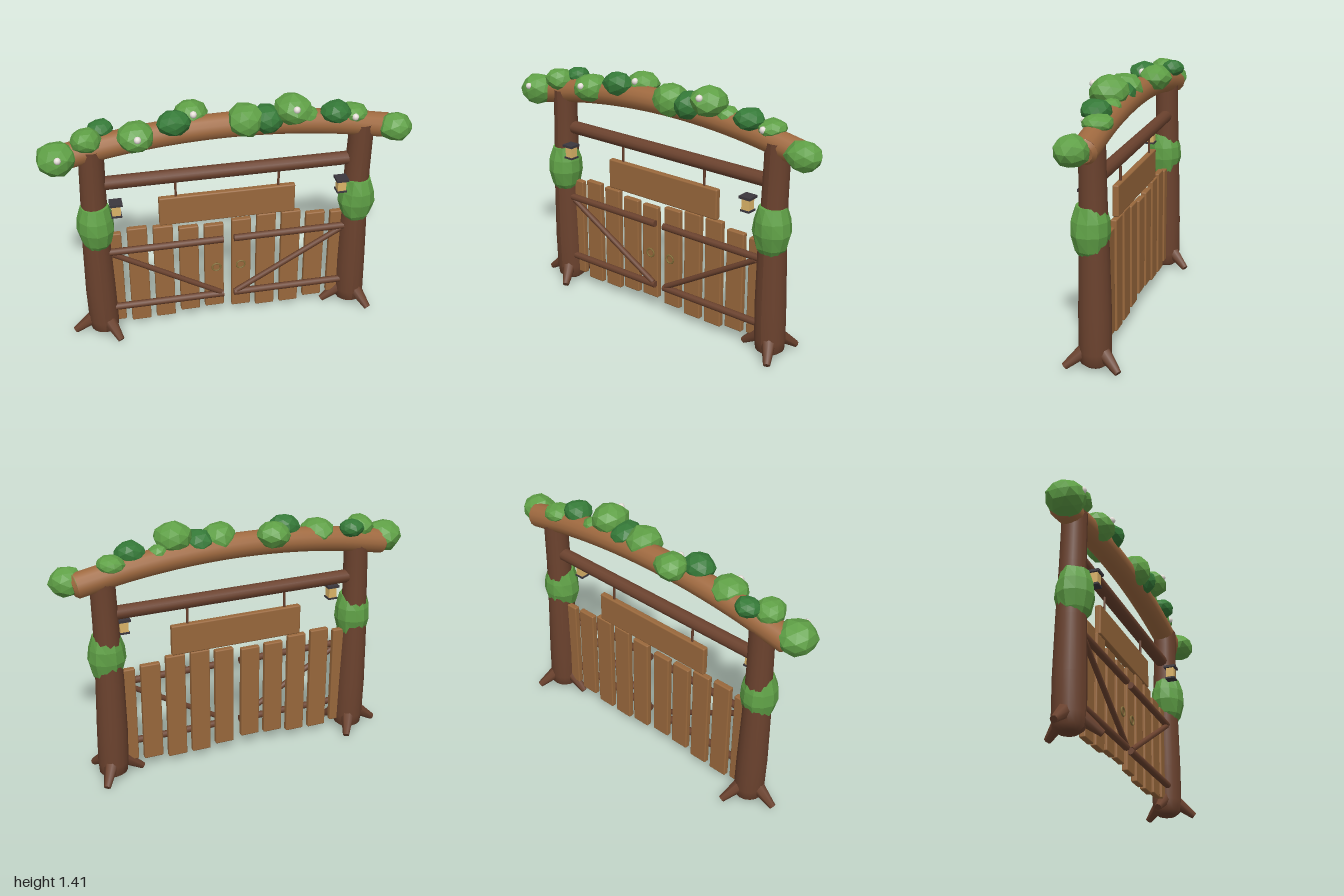
import * as THREE from 'three';
import { RoundedBoxGeometry } from 'three/addons/geometries/RoundedBoxGeometry.js';

const mat = (name, color, flatShading = false) => {
  const m = new THREE.MeshStandardMaterial({ color, flatShading });
  m.name = name;
  return m;
};

export function createModel() {
  const root = new THREE.Group();
  root.name = 'gardenGate';
  const bark = mat('dark bark', 0x6b422e);
  const beamWood = mat('arch wood', 0xa06a40);
  const plankWood = mat('plank wood', 0x99683c);
  const leaf = mat('light leaves', 0x5fa046, true);
  const darkLeaf = mat('dark leaves', 0x357a38, true);
  const iron = mat('dark iron', 0x3c383e);
  const glow = mat('lantern glow', 0xdcb468);
  const brass = mat('ring brass', 0x86703a);
  const petal = mat('pale blossom', 0xe6dfda);

  const add = (parent, name, geo, material, x = 0, y = 0, z = 0) => {
    const m = new THREE.Mesh(geo, material);
    m.name = name;
    m.position.set(x, y, z);
    parent.add(m);
    return m;
  };
  // Tapered rod from a to b
  const rod = (parent, name, a, b, ra, rb, material, sides = 10) => {
    const p = new THREE.Vector3(...a), q = new THREE.Vector3(...b);
    const m = add(parent, name, new THREE.CylinderGeometry(rb, ra, p.distanceTo(q), sides), material);
    m.position.copy(p).add(q).multiplyScalar(0.5);
    m.quaternion.setFromUnitVectors(new THREE.Vector3(0, 1, 0), q.sub(p).normalize());
    return m;
  };
  // Push vertices in and out by a hash of their position, so seams stay closed
  const roughen = (geo, amount, seed) => {
    const p = geo.attributes.position;
    for (let i = 0; i < p.count; i++) {
      const [x, y, z] = [p.getX(i), p.getY(i), p.getZ(i)].map(v => Math.round(v * 1000) / 1000);
      const h = Math.sin(x * 12.99 + y * 78.23 + z * 37.72 + seed * 4.7) * 437.58;
      const s = 1 + amount * ((h - Math.floor(h)) * 2 - 1);
      p.setXYZ(i, x * s, y * s, z * s);
    }
    geo.computeVertexNormals();
    return geo;
  };
  const lathe = (pts, sides) => new THREE.LatheGeometry(pts.map(p => new THREE.Vector2(...p)), sides);

  // Posts with spreading roots and a moss wrap
  [-0.722, 0.727].forEach((px, n) => {
    const post = new THREE.Group();
    post.name = n ? 'leftPost' : 'rightPost';
    post.position.x = px;
    root.add(post);
    const trunk = lathe([[0, 0.015], [0.05, 0.018], [0.078, 0.04], [0.084, 0.1], [0.084, 0.3],
      [0.077, 0.6], [0.069, 0.9], [0.067, 1.1], [0.068, 1.2]], 16);
    const p = trunk.attributes.position;
    for (let i = 0; i < p.count; i++) {
      const bend = Math.sin(p.getY(i) * Math.PI / 1.2);
      p.setX(i, p.getX(i) + 0.006 - 0.01 * bend);
      p.setZ(i, p.getZ(i) + 0.004 * p.getY(i));
    }
    trunk.computeVertexNormals();
    add(post, 'trunk', trunk, bark);
    for (let i = 0; i < 3; i++) {
      const a = Math.PI / 3 + i * Math.PI * 2 / 3, c = Math.cos(a), s = Math.sin(a);
      rod(post, 'root', [0.04 * c, 0.115, 0.04 * s], [0.163 * c, 0.024, 0.163 * s], 0.042, 0.019, bark, 7);
    }
    const moss = lathe([[0, -0.142], [0.05, -0.138], [0.08, -0.09], [0.101, -0.01], [0.097, 0.06],
      [0.074, 0.132], [0, 0.138]], 11);
    add(post, 'moss', roughen(moss, 0.04, n), leaf, 0, 0.727, 0.018);
  });

  // Arched top beam
  const arch = [-0.87, -0.58, -0.29, 0, 0.29, 0.58, 0.87]
    .map(x => new THREE.Vector3(x, 1.255 - 0.125 * x * x, 0));
  add(root, 'archBeam', new THREE.TubeGeometry(new THREE.CatmullRomCurve3(arch), 32, 0.068, 14), beamWood);
  for (const s of [-1, 1]) {
    const end = arch[s < 0 ? 0 : 6];
    rod(root, 'beamEnd', end.toArray(), [end.x + s * 0.018, end.y - 0.004, 0], 0.068, 0.05, beamWood, 14);
  }
  rod(root, 'crossbar', [-0.68, 0.98, 0], [0.68, 0.98, 0], 0.037, 0.037, bark, 12);

  // Hanging sign board
  add(root, 'signBoard', new RoundedBoxGeometry(0.755, 0.172, 0.035, 2, 0.008), plankWood, -0.002, 0.767, 0);
  for (const x of [-0.285, 0.282])
    rod(root, 'signHanger', [x, 0.845, 0], [x, 0.96, 0], 0.007, 0.007, bark, 6);

  // Two gate leaves: [bottom, top] of each plank, from -x to +x
  const leaves = [
    [[0.07, 0.66], [0.053, 0.68], [0.058, 0.673], [0.08, 0.65], [0.087, 0.645]],
    [[0.07, 0.663], [0.053, 0.68], [0.053, 0.678], [0.073, 0.652], [0.085, 0.645]],
  ];
  leaves.forEach((planks, n) => {
    const gate = new THREE.Group(), s = n ? 1 : -1;
    gate.name = n ? 'leftGate' : 'rightGate';
    root.add(gate);
    planks.forEach(([lo, hi], i) => add(gate, 'plank',
      new RoundedBoxGeometry(0.109, hi - lo, 0.034, 2, 0.007), plankWood,
      (n ? 0.075 : -0.646) + i * 0.1415, (lo + hi) / 2, 0));
    for (const y of [0.555, 0.178])
      rod(gate, 'rail', [s * 0.03, y, 0.03], [s * 0.68, y, 0.03], 0.02, 0.02, bark, 8);
    rod(gate, 'brace', [s * 0.645, 0.54, 0.032], [s * 0.045, 0.19, 0.032], 0.016, 0.016, bark, 8);
    add(gate, 'ringHandle', new THREE.TorusGeometry(0.024, 0.005, 6, 16), brass, s * 0.07, 0.365, 0.025);

    // Lantern beside the post
    const lantern = new THREE.Group();
    lantern.name = 'lantern';
    lantern.position.set(s * 0.614, 0.82, 0.078);
    root.add(lantern);
    add(lantern, 'lanternBase', new THREE.BoxGeometry(0.056, 0.01, 0.056), iron, 0, 0.007, 0);
    add(lantern, 'lanternGlass', new THREE.BoxGeometry(0.046, 0.062, 0.046), glow, 0, 0.042, 0);
    add(lantern, 'lanternCap', new THREE.BoxGeometry(0.068, 0.014, 0.068), iron, 0, 0.079, 0);
  });

  // Foliage along the arch: x, y, z, rx, ry, rz, dark
  const bushes = [
    [-0.895, 1.177, 0.035, 0.105, 0.088, 0.105],
    [-0.74, 1.258, 0.025, 0.08, 0.064, 0.08],
    [-0.655, 1.28, -0.045, 0.07, 0.048, 0.065, 1],
    [-0.485, 1.252, 0.032, 0.098, 0.08, 0.098],
    [-0.288, 1.313, 0.03, 0.088, 0.064, 0.08, 1],
    [-0.185, 1.312, -0.063, 0.09, 0.068, 0.088],
    [0.085, 1.293, 0.035, 0.096, 0.088, 0.1],
    [0.205, 1.285, 0.03, 0.088, 0.075, 0.095, 1],
    [0.335, 1.333, 0.04, 0.102, 0.082, 0.104],
    [0.425, 1.265, 0.005, 0.06, 0.055, 0.06],
    [0.573, 1.287, 0.03, 0.08, 0.06, 0.078, 1],
    [0.685, 1.255, -0.01, 0.075, 0.045, 0.08],
    [0.903, 1.172, 0.045, 0.095, 0.077, 0.09],
  ];
  bushes.forEach(([x, y, z, rx, ry, rz, dark], i) => {
    const b = add(root, 'bush', roughen(new THREE.IcosahedronGeometry(1, 1), 0.07, i),
      dark ? darkLeaf : leaf, x, y, z);
    b.scale.set(rx, ry, rz);
  });

  // Blossoms
  for (const [x, y, z] of [[-0.89, 1.21, 0.122], [-0.485, 1.28, 0.117], [-0.182, 1.338, 0.012],
    [0.335, 1.368, 0.125], [0.675, 1.257, 0.058]])
    add(root, 'blossom', new THREE.SphereGeometry(0.019, 10, 8), petal, x, y, z);

  return root;
}
